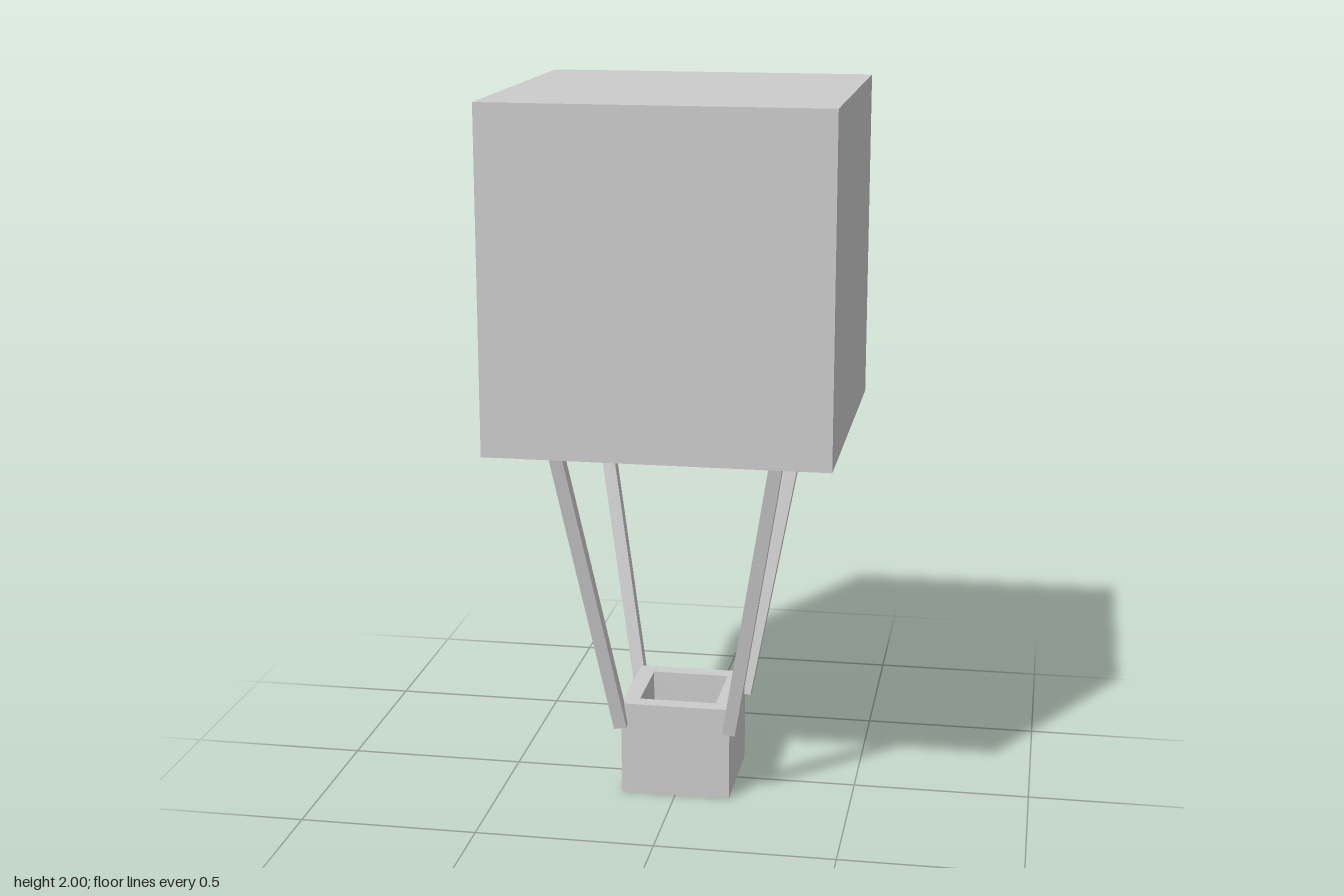
import * as THREE from 'three';

const material = new THREE.MeshStandardMaterial({ color: 0xcccccc, flatShading: true });

function addMesh(parent, name, geometry) {
  const mesh = new THREE.Mesh(geometry, material);
  mesh.name = name;
  parent.add(mesh);
  return mesh;
}

// Closed square outline of the given half width
function square(PathType, h) {
  return new PathType([[-h, -h], [h, -h], [h, h], [-h, h]].map(([x, y]) => new THREE.Vector2(x, y)));
}

// Square bar running between two points
function addBar(parent, name, from, to, width) {
  const direction = to.clone().sub(from);
  const bar = addMesh(parent, name, new THREE.BoxGeometry(width, direction.length(), width));
  bar.position.copy(from).add(to).multiplyScalar(0.5);
  bar.quaternion.setFromUnitVectors(new THREE.Vector3(0, 1, 0), direction.normalize());
}

export function createModel() {
  const model = new THREE.Group();
  model.name = 'hotAirBalloon';

  // Cube-shaped envelope
  const size = 0.934;
  addMesh(model, 'envelope', new THREE.BoxGeometry(size, size, size)).position.y = 2 - size / 2;

  // Open basket: square wall ring with a floor set inside
  const basket = new THREE.Group();
  basket.name = 'basket';
  model.add(basket);
  const outer = 0.156, inner = 0.11, height = 0.27, floor = 0.045;
  const outline = square(THREE.Shape, outer);
  outline.holes.push(square(THREE.Path, inner));
  const walls = new THREE.ExtrudeGeometry(outline, { depth: height, bevelEnabled: false });
  addMesh(basket, 'basketWalls', walls.rotateX(-Math.PI / 2));
  addMesh(basket, 'basketFloor', new THREE.BoxGeometry(inner * 2, floor, inner * 2)).position.y = floor / 2;

  // Four struts splaying from the basket corners up to the envelope
  for (const [x, side] of [[1, 'left'], [-1, 'right']]) {
    for (const [z, end] of [[1, 'Front'], [-1, 'Back']]) {
      const from = new THREE.Vector3(x * 0.156, 0.204, z * 0.156);
      const to = new THREE.Vector3(x * 0.308, 1.075, z * 0.308);
      addBar(model, `${side}${end}Strut`, from, to, 0.037);
    }
  }
  return model;
}
